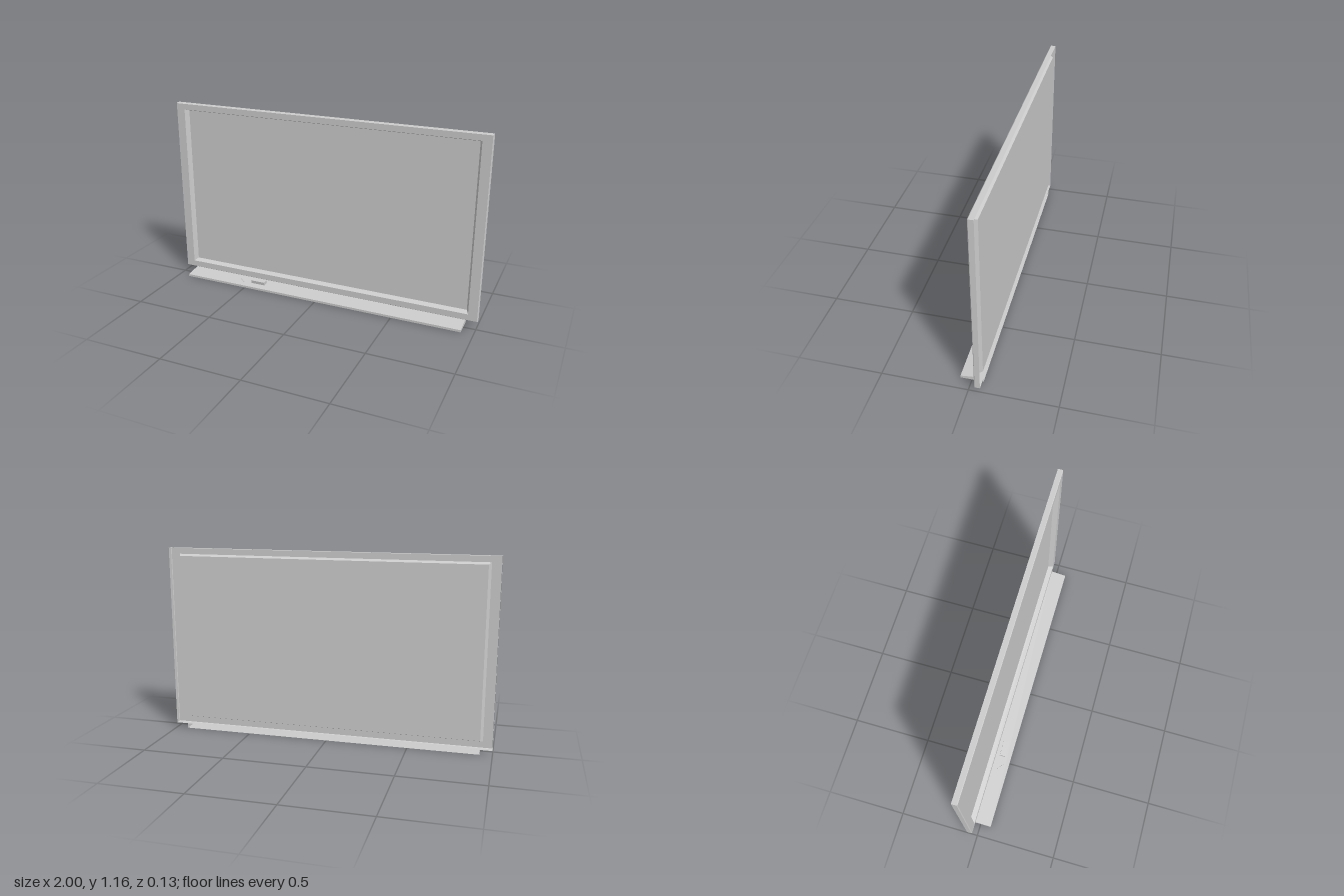
import * as THREE from 'three';

const material = new THREE.MeshStandardMaterial({ color: 0xcccccc, flatShading: true, side: THREE.DoubleSide });

function addMesh(parent, geometry, name) {
  const mesh = new THREE.Mesh(geometry, material);
  mesh.name = name;
  parent.add(mesh);
  return mesh;
}

// Collects quads given as four corners, counter-clockwise from outside
function quadGeometry(quads) {
  const pos = [];
  for (const [a, b, c, d] of quads) pos.push(...a, ...b, ...c, ...a, ...c, ...d);
  const geometry = new THREE.BufferGeometry();
  geometry.setAttribute('position', new THREE.Float32BufferAttribute(pos, 3));
  geometry.computeVertexNormals();
  return geometry;
}

// Rectangle ring, counter-clockwise seen from the front
const ring = (x, y0, y1, z) => [[-x, y0, z], [x, y0, z], [x, y1, z], [-x, y1, z]];

function bandQuads(outer, inner) {
  return outer.map((p, i) => {
    const j = (i + 1) % 4;
    return [p, outer[j], inner[j], inner[i]];
  });
}

export function createModel() {
  const model = new THREE.Group();
  model.name = 'whiteboard';

  // Pressed frame: back rim, small chamfer, front face, sloping recess walls
  const rings = [
    ring(1, 0.03, 1.158, -0.066),
    ring(1, 0.03, 1.158, -0.037),
    ring(0.997, 0.033, 1.155, -0.033),
    ring(0.942, 0.071, 1.119, -0.033),
    ring(0.927, 0.083, 1.109, -0.064),
  ];
  const frameQuads = [];
  for (let i = 0; i < rings.length - 1; i++) frameQuads.push(...bandQuads(rings[i], rings[i + 1]));
  addMesh(model, quadGeometry(frameQuads), 'frame');

  // Writing surface closing the recess
  addMesh(model, quadGeometry([rings[4]]), 'writingSurface');

  // Tray: folded sheet open at the back, with closed ends; points are [z, y]
  const w = 0.926;
  const profile = [[-0.066, 0], [0.066, 0], [0.066, 0.014], [-0.034, 0.027], [-0.066, 0.029]];
  const trayQuads = [];
  for (let i = 0; i < profile.length - 1; i++) {
    const [z0, y0] = profile[i], [z1, y1] = profile[i + 1];
    trayQuads.push([[-w, y0, z0], [w, y0, z0], [w, y1, z1], [-w, y1, z1]]);
  }
  addMesh(model, quadGeometry(trayQuads), 'tray');
  const endShape = new THREE.Shape(profile.map(([z, y]) => new THREE.Vector2(-z, y)));
  for (const side of [-1, 1]) {
    const end = addMesh(model, new THREE.ShapeGeometry(endShape), side > 0 ? 'trayEndLeft' : 'trayEndRight');
    end.rotation.y = Math.PI / 2;
    end.position.x = side * w;
  }

  // Height of the sloping tray top
  const slope = 0.13;
  const trayTop = (z) => 0.014 + slope * (0.066 - z);

  // Eraser lying on the slope
  const eraser = addMesh(model, new THREE.BoxGeometry(0.095, 0.02, 0.036), 'eraser');
  eraser.position.set(-0.422, trayTop(0.009) + 0.012, 0.009);
  eraser.rotation.x = Math.atan(slope);

  // Pen lying askew on the slope
  const r = 0.003;
  const a = new THREE.Vector3(-0.557, trayTop(0.003) + r, 0.003);
  const b = new THREE.Vector3(-0.522, trayTop(0.032) + r, 0.032);
  const pen = addMesh(model, new THREE.CylinderGeometry(r, r, a.distanceTo(b), 8), 'pen');
  pen.position.copy(a).lerp(b, 0.5);
  pen.quaternion.setFromUnitVectors(new THREE.Vector3(0, 1, 0), b.clone().sub(a).normalize());

  return model;
}
